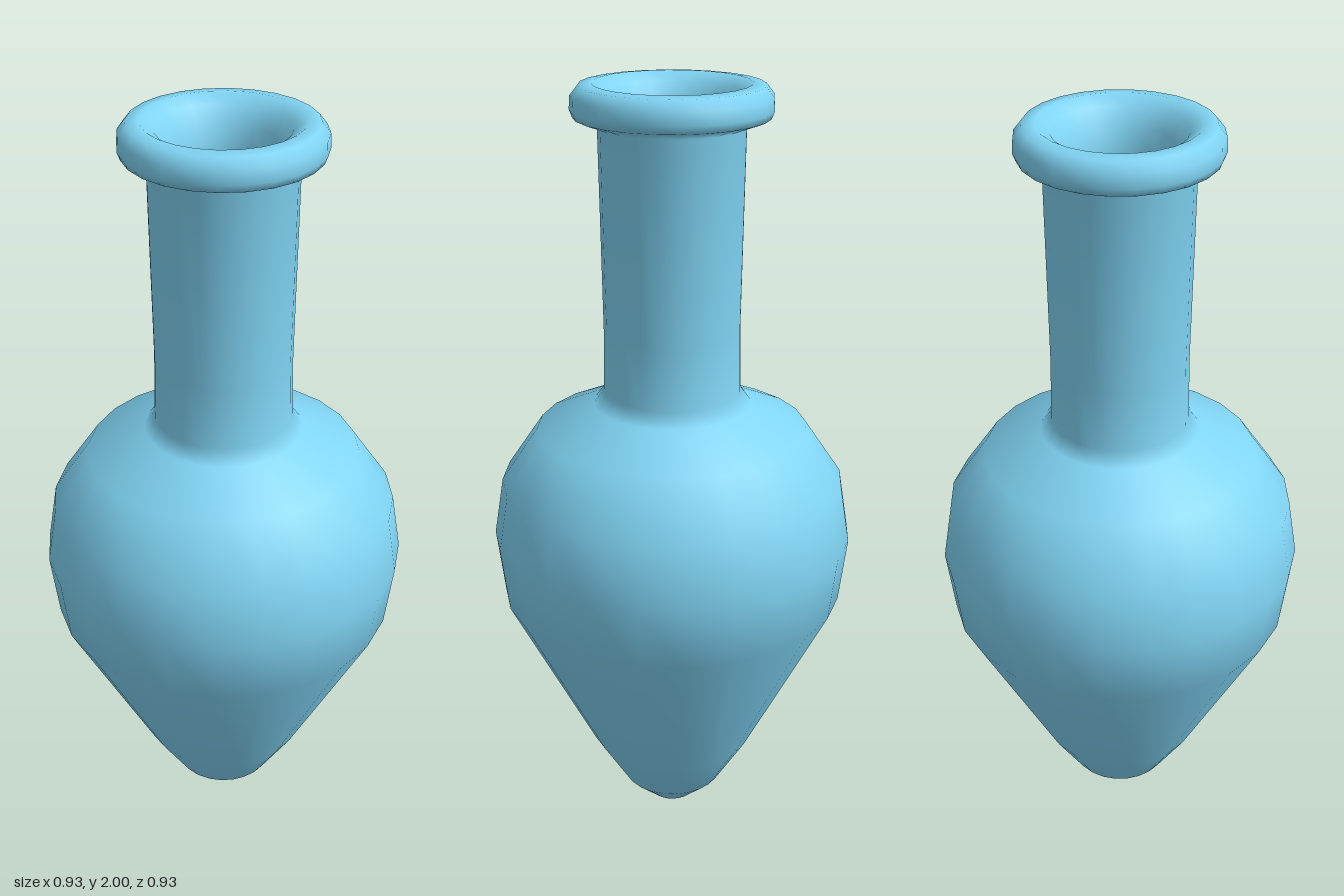
import * as THREE from 'three';

const SIDES = 24;

export function createModel() {
  const group = new THREE.Group();
  group.name = 'vase';
  const material = new THREE.MeshStandardMaterial({ color: 0x80d4f4, side: THREE.DoubleSide });

  // Outer wall, pointed foot up to the neck
  const outer = [
    [0, 0], [0.06, 0.02], [0.135, 0.09], [0.22, 0.23], [0.445, 0.68],
    [0.465, 0.85], [0.44, 1.0], [0.345, 1.14], [0.2, 1.205], [0.174, 1.24],
    [0.171, 1.4], [0.178, 1.9],
  ];
  // Rounded lip, rolling over into the throat
  const lip = [
    [0.236, 1.922], [0.243, 1.94], [0.241, 1.972], [0.222, 1.996], [0.19, 2.0],
    [0.158, 1.98], [0.13, 1.94], [0.115, 1.88],
  ];
  // Inner wall, throat down to the hollow bottom
  const inner = [
    [0.108, 1.75], [0.105, 1.24], [0.19, 1.185], [0.33, 1.12], [0.422, 0.99],
    [0.445, 0.85], [0.425, 0.69], [0.2, 0.245], [0.12, 0.11], [0.055, 0.045], [0, 0.03],
  ];

  const profile = [...outer, ...lip, ...inner].map(([r, y]) => new THREE.Vector2(r, y));
  const body = new THREE.Mesh(new THREE.LatheGeometry(profile, SIDES), material);
  body.name = 'vaseBody';
  group.add(body);
  return group;
}
